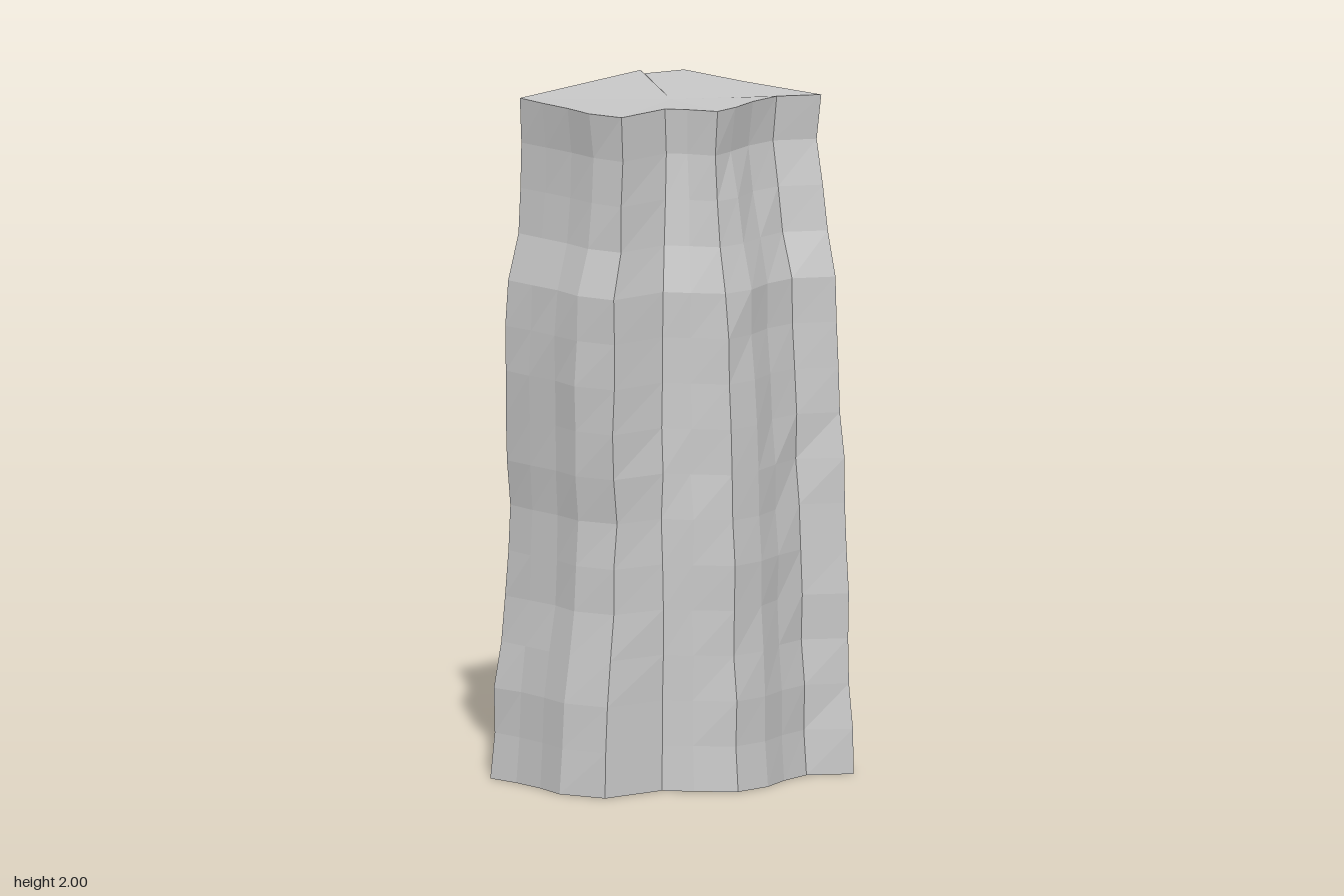
import * as THREE from 'three';

// Plan outline of the rock face as [x, z], from the front left edge round to the back right edge
const FOOT = [[-0.375, 0.345], [-0.27, 0.35], [-0.16, 0.37], [-0.055, 0.405], [0.09, 0.37],
  [0.13, 0.165], [0.21, 0.115], [0.31, 0.035], [0.32, -0.085], [0.29, -0.19], [0.28, -0.3], [0.37, -0.405]];
const RIM = [[-0.375, 0.215], [-0.27, 0.235], [-0.16, 0.25], [-0.055, 0.275], [0.057, 0.26],
  [0.058, 0.07], [0.115, 0.035], [0.2, 0], [0.195, -0.085], [0.17, -0.19], [0.165, -0.3], [0.245, -0.405]];
// How far each of the 16 rows has moved from foot to rim, for the front and the side
const FRONT_LEAN = [0, 0.1, 0.17, 0.33, 0.54, 0.6, 0.65, 0.58, 0.54, 0.5, 0.55, 0.6, 0.97, 1.05, 1.1, 1];
const SIDE_LEAN = [0, 0.06, 0.1, 0.15, 0.18, 0.2, 0.25, 0.32, 0.38, 0.45, 0.5, 0.54, 0.8, 0.97, 1.1, 1];
const FRONT_COLUMNS = 5;
const ROWS = 15;
const TOP = 1.99;

function makeRandom(seed) {
  let s = seed;
  return () => {
    s = (s * 16807) % 2147483647;
    return s / 2147483647 - 0.5;
  };
}

function buildGeometry(positions, index) {
  const g = new THREE.BufferGeometry();
  g.setAttribute('position', new THREE.Float32BufferAttribute(positions, 3));
  g.setIndex(index);
  const flat = g.toNonIndexed();
  flat.computeVertexNormals();
  return flat;
}

// Open cliff face: rows of vertices lofted from the foot outline to the rim outline
function cliffGeometry() {
  const random = makeRandom(71);
  const positions = [];
  const index = [];
  const n = FOOT.length;
  for (let r = 0; r <= ROWS; r++) {
    for (let c = 0; c < n; c++) {
      const front = c < FRONT_COLUMNS;
      const t = (front ? FRONT_LEAN : SIDE_LEAN)[r];
      const rough = r > 0 && r < ROWS ? random() * 0.013 : 0;
      const x = THREE.MathUtils.lerp(FOOT[c][0], RIM[c][0], t) + (front ? 0 : rough);
      const z = THREE.MathUtils.lerp(FOOT[c][1], RIM[c][1], t) + (front ? rough : 0);
      positions.push(x, TOP * r / ROWS, z);
      if (r < ROWS && c < n - 1) {
        const a = r * n + c;
        const b = a + 1;
        index.push(a, b, b + n, a, b + n, a + n);
      }
    }
  }
  return buildGeometry(positions, index);
}

// Nearly flat top: a fan from a centre point to the rim and the ragged back edge
function topGeometry() {
  const edge = [...RIM, [-0.05, -0.405], [-0.285, -0.405], [-0.355, -0.31], [-0.375, -0.315]];
  const positions = [-0.05, 1.985, -0.08];
  const index = [];
  edge.forEach(([x, z], i) => {
    const y = i < RIM.length ? TOP : i % 2 ? 2 : 1.993;
    positions.push(x, y, z);
    index.push(0, i + 1, (i + 1) % edge.length + 1);
  });
  return buildGeometry(positions, index);
}

export function createModel() {
  const stone = new THREE.MeshStandardMaterial({ color: 0xc6c6c6 });
  stone.name = 'grey stone';
  stone.flatShading = true;
  stone.side = THREE.DoubleSide;

  const model = new THREE.Group();
  model.name = 'cliff';
  const parts = { rockFace: cliffGeometry(), plateauTop: topGeometry() };
  for (const [name, geometry] of Object.entries(parts)) {
    const mesh = new THREE.Mesh(geometry, stone);
    mesh.name = name;
    model.add(mesh);
  }
  return model;
}
